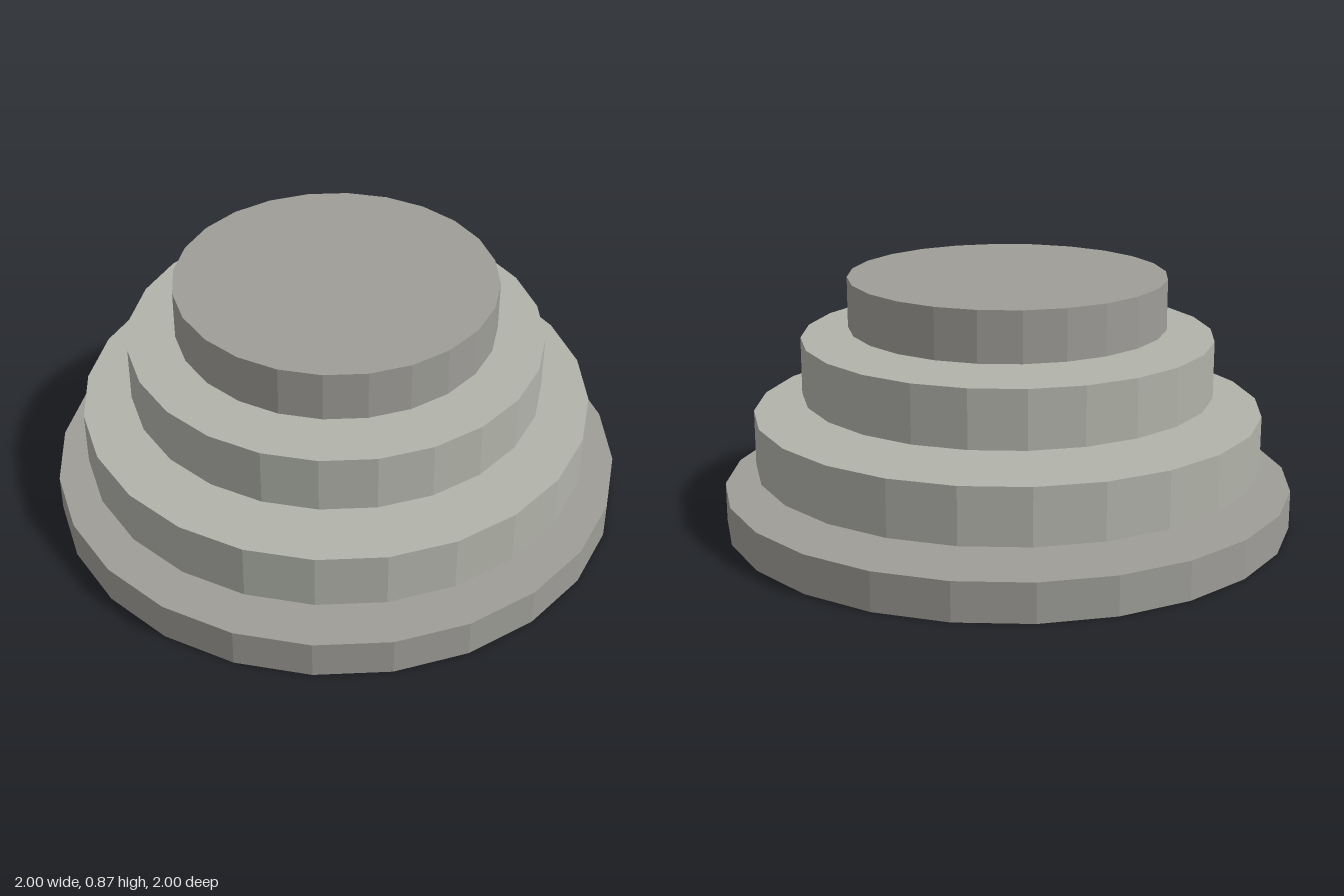
import * as THREE from 'three';

const SIDES = 24;
const DARK_STONE = 0x9e9d98;
const LIGHT_STONE = 0xb1b3aa;

// Floating stacked discs, from the ground up
const TIERS = [
  { name: 'baseDisc', radius: 1.0, bottom: 0, top: 0.135, color: DARK_STONE },
  { name: 'lowerDisc', radius: 0.89, bottom: 0.205, top: 0.4, color: LIGHT_STONE },
  { name: 'upperDisc', radius: 0.72, bottom: 0.46, top: 0.66, color: LIGHT_STONE },
  { name: 'topDisc', radius: 0.555, bottom: 0.695, top: 0.87, color: DARK_STONE },
];

// One faceted disc spanning bottom to top
function makeDisc({ name, radius, bottom, top, color }) {
  const geometry = new THREE.CylinderGeometry(radius, radius, top - bottom, SIDES);
  const material = new THREE.MeshStandardMaterial({ color, flatShading: true });
  const disc = new THREE.Mesh(geometry, material);
  disc.name = name;
  disc.position.y = (bottom + top) / 2;
  return disc;
}

export function createModel() {
  const model = new THREE.Group();
  model.name = 'tieredDiscs';
  for (const tier of TIERS) model.add(makeDisc(tier));
  return model;
}
